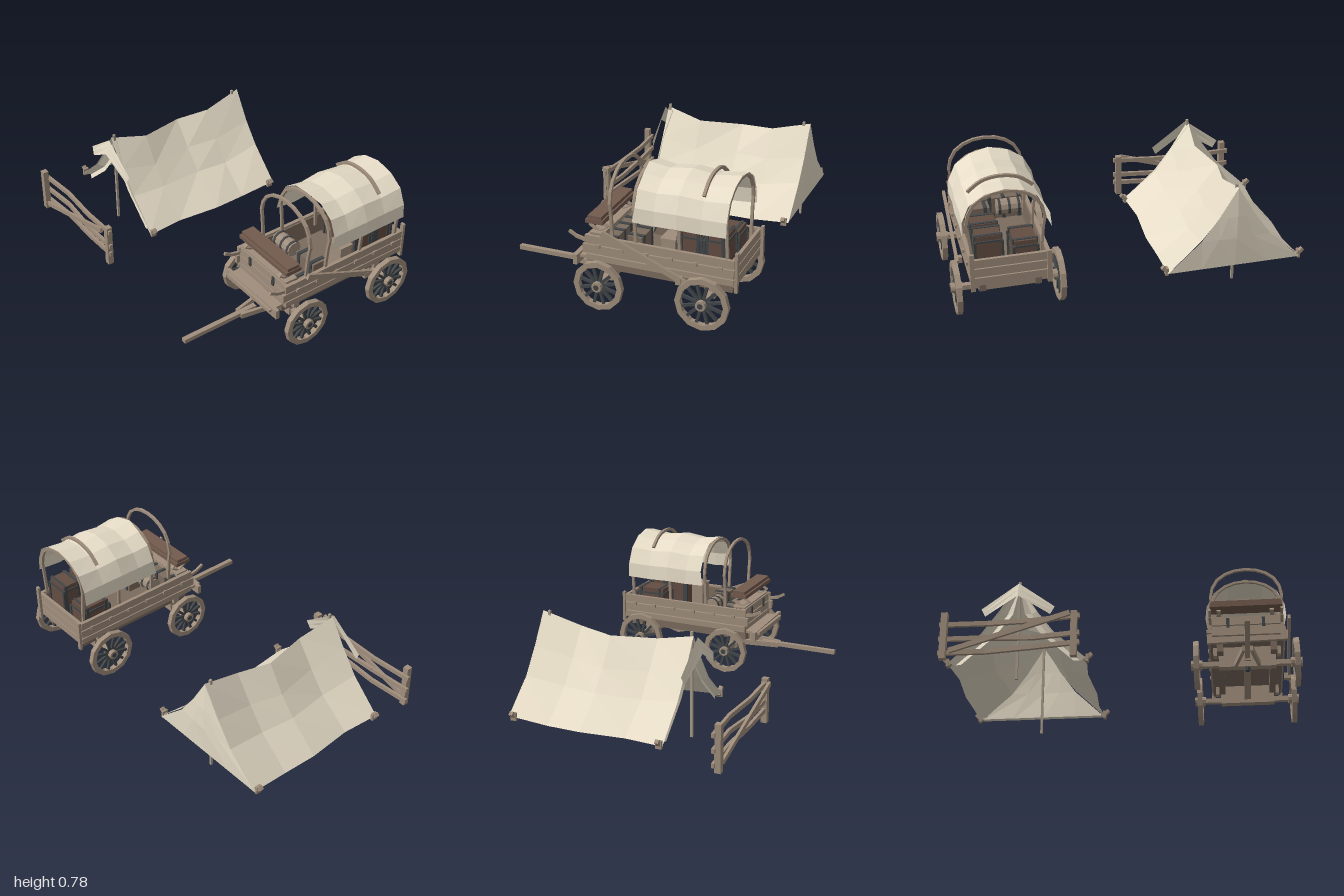
import * as THREE from 'three';

const mat = (name, color, side = THREE.FrontSide) => {
  const m = new THREE.MeshStandardMaterial({ color, side, flatShading: true });
  m.name = name;
  return m;
};
const wood = mat('wood', 0xa08e7c);
const darkWood = mat('dark wood', 0x7c6b5e);
const paleWood = mat('pale wood', 0xaa9d8c);
const seatWood = mat('red brown wood', 0x735a4d);
const trunkWood = mat('trunk wood', 0x644d43);
const iron = mat('iron', 0x424648);
const canvas = mat('canvas', 0xe6dcc7, THREE.DoubleSide);
const V = (x, y, z) => new THREE.Vector3(x, y, z);

export function createModel() {
  const root = new THREE.Group();
  const tent = new THREE.Group(), fence = new THREE.Group(), wagon = new THREE.Group();
  tent.name = 'tent'; fence.name = 'fence'; wagon.name = 'wagon';
  root.add(tent, fence, wagon);

  const add = (parent, name, geo, m, x = 0, y = 0, z = 0) => {
    const mesh = new THREE.Mesh(geo, m);
    mesh.name = name;
    mesh.position.set(x, y, z);
    parent.add(mesh);
    return mesh;
  };
  // box given by its min and max corners
  const box = (p, name, m, x0, x1, y0, y1, z0, z1) =>
    add(p, name, new THREE.BoxGeometry(x1 - x0, y1 - y0, z1 - z0), m, (x0 + x1) / 2, (y0 + y1) / 2, (z0 + z1) / 2);
  // straight bar from a to b, in the parent's own frame
  const bar = (p, name, m, a, b, w, h) => {
    const mesh = add(p, name, new THREE.BoxGeometry(w, h, a.distanceTo(b)), m);
    mesh.position.copy(a).add(b).multiplyScalar(0.5);
    mesh.quaternion.setFromRotationMatrix(new THREE.Matrix4().lookAt(b, a, V(0, 1, 0)));
    return mesh;
  };
  // cloth from a grid of points f(i, j)
  const sheet = (p, name, nu, nv, f) => {
    const pos = [], idx = [];
    for (let j = 0; j <= nv; j++) for (let i = 0; i <= nu; i++) pos.push(...f(i, j));
    for (let j = 0; j < nv; j++) for (let i = 0; i < nu; i++) {
      const a = j * (nu + 1) + i, b = a + nu + 1;
      idx.push(a, b, a + 1, b, b + 1, a + 1);
    }
    const g = new THREE.BufferGeometry();
    g.setAttribute('position', new THREE.Float32BufferAttribute(pos, 3));
    g.setIndex(idx);
    g.computeVertexNormals();
    return add(p, name, g, canvas);
  };

  // ---- tent: two sagging roof panels sharing a wavy ridge
  const TX = -0.58;
  const zs = [0.305, 0.08, -0.18, -0.38, -0.615];
  const ridge = [[-0.01, 0.58], [0.02, 0.525], [-0.03, 0.52], [0.01, 0.535], [0, 0.595]];
  const spread = [0.39, 0.37, 0.39, 0.38, 0.39];
  const hem = [0.105, 0.1, 0.095, 0.09, 0.11];
  const drop = [0, 0.36, 0.64, 1];           // share of the height lost
  const out = [0, 0.27, 0.52, 1];            // share of the width reached
  for (const s of [-1, 1]) {
    sheet(tent, 'roofPanel', 4, 3, (i, j) => {
      const [rx, ry] = ridge[i], k = out[j];
      const bump = j === 0 || j === 3 ? 0 : 0.007 * Math.sin(i * 2.3 + j * 1.7 + s);
      return [TX + rx * (1 - k) + s * spread[i] * k, ry - (ry - hem[i]) * drop[j] + bump, zs[i]];
    });
    // door flap tied back along the gable edge
    sheet(tent, 'doorFlap', 2, 3, (i, j) => {
      const x = 0.385 * out[j] - 0.035 * i * (j ? 1 : 0);
      return [TX + s * x, 0.575 - 0.465 * drop[j] - 0.005 * i, 0.3 - 0.022 * (i % 2) - 0.005 * i];
    });
    for (const z of [0.285, -0.585]) {
      const x = TX + s * 0.39;
      bar(tent, 'peg', wood, V(x + s * 0.025, 0.14, z), V(x - s * 0.015, 0.1, z), 0.022, 0.022);
      box(tent, 'pegCap', wood, x - 0.008, x + 0.008, 0.09, 0.135, z - 0.017, z + 0.017);
    }
  }
  // closed rear gable and its turned-in hem
  sheet(tent, 'rearWall', 4, 3, (i, j) => {
    const u = i / 2 - 1;
    return [TX + u * 0.385 * out[j], 0.595 - 0.485 * drop[j], -0.612 - (j % 3 ? 0.012 * (1 - Math.abs(u)) : 0)];
  });
  box(tent, 'rearHem', canvas, TX - 0.38, TX + 0.38, 0.106, 0.112, -0.61, -0.575);
  // awning, an upside-down V at the front
  sheet(tent, 'awning', 2, 2, (i, j) => {
    const s = i - 1, a = Math.abs(s);
    const x = s * (0.208 - 0.012 * j);
    return [TX + x, 0.575 - a * 0.155 - j * (0.045 - a * 0.02), 0.325 + j * (a ? 0.004 : 0.014)];
  });
  for (const z of [0.29, -0.575])
    box(tent, 'pole', paleWood, TX - 0.007, TX + 0.007, 0, 0.6, z - 0.007, z + 0.007);

  // ---- fence
  box(fence, 'post', wood, -0.94, -0.905, 0, 0.268, 0.58, 0.615);
  box(fence, 'post', wood, -0.243, -0.208, 0, 0.262, 0.555, 0.59);
  for (const [ya, yb] of [[0.21, 0.235], [0.125, 0.135], [0.045, 0.08]]) {
    const pts = [V(-0.955, ya, 0.578), V(-0.7, ya + 0.006, 0.56), V(-0.45, yb - 0.018, 0.572), V(-0.195, yb, 0.575)];
    for (let i = 0; i < 3; i++) bar(fence, 'rail', wood, pts[i], pts[i + 1], 0.018, 0.026);
  }
  bar(fence, 'brace', wood, V(-0.89, 0.045, 0.605), V(-0.245, 0.24, 0.605), 0.016, 0.028);

  // ---- wagon wheels
  const CX = 0.69;
  const wheel = (x, y, z, r) => {
    const g = new THREE.Group();
    g.name = 'wheel';
    g.position.set(x, y, z);
    g.rotation.z = -Math.PI / 2;
    wagon.add(g);
    const ri = r - 0.03, h = 0.015;
    const prof = [[ri, -h], [r, -h], [r, h], [ri, h], [ri, -h]].map(([a, b]) => new THREE.Vector2(a, b));
    add(g, 'rim', new THREE.LatheGeometry(prof, 12), wood);
    add(g, 'hub', new THREE.CylinderGeometry(0.028, 0.028, 0.064, 10), wood);
    add(g, 'hubCap', new THREE.CylinderGeometry(0.016, 0.016, 0.068, 8), iron);
    for (let i = 0; i < 12; i++) {
      const a = (i + 0.5) * Math.PI / 6;
      bar(g, 'spoke', iron, V(0.02 * Math.cos(a), 0, 0.02 * Math.sin(a)),
        V((ri + 0.004) * Math.cos(a), 0, (ri + 0.004) * Math.sin(a)), 0.015, 0.015);
    }
  };
  for (const x of [0.405, 0.965]) {
    wheel(x, 0.139, 0.063, 0.139);
    wheel(x, 0.149, -0.515, 0.147);
  }

  // running gear
  for (const [y, z] of [[0.139, 0.063], [0.149, -0.515]]) {
    box(wagon, 'axle', wood, 0.4, 0.97, y - 0.014, y + 0.014, z - 0.016, z + 0.016);
    box(wagon, 'bolster', wood, 0.53, 0.85, y - 0.025, 0.185, z - 0.025, z + 0.025);
    box(wagon, 'crossBeam', wood, 0.5, 0.88, 0.185, 0.235, z - 0.02, z + 0.02);
  }
  for (const s of [-1, 1])
    box(wagon, 'sill', darkWood, CX + s * 0.15 - 0.018, CX + s * 0.15 + 0.018, 0.182, 0.235, -0.64, 0.15);
  box(wagon, 'reach', wood, CX - 0.02, CX + 0.02, 0.145, 0.182, -0.55, 0.1);
  box(wagon, 'tongue', wood, CX - 0.014, CX + 0.014, 0.113, 0.138, 0.2, 0.675);
  for (const s of [-1, 1])
    bar(wagon, 'hound', wood, V(CX + s * 0.07, 0.13, 0.06), V(CX + s * 0.02, 0.125, 0.31), 0.018, 0.03);
  add(wagon, 'kingPin', new THREE.CylinderGeometry(0.015, 0.015, 0.05, 8), iron, CX, 0.12, 0.063);

  // wagon bed
  box(wagon, 'floor', darkWood, 0.485, 0.895, 0.235, 0.25, -0.655, 0.16);
  for (const s of [-1, 1]) {
    const x = CX + s * 0.205;
    for (const [y0, y1, z1] of [[0.34, 0.387, 0.165], [0.285, 0.334, 0.18], [0.245, 0.279, 0.16]])
      box(wagon, 'sidePlank', wood, x - 0.01, x + 0.01, y0, y1, -0.66, z1);
    box(wagon, 'sideLining', darkWood, x - s * 0.014 - 0.004, x - s * 0.014 + 0.004, 0.25, 0.375, -0.65, 0.155);
    for (let i = 0; i < 6; i++)
      box(wagon, 'sideCleat', wood, x + s * 0.014 - 0.006, x + s * 0.014 + 0.006, 0.325, 0.345, -0.6 + i * 0.135, -0.58 + i * 0.135);
    box(wagon, 'rearStake', wood, x - 0.012, x + 0.012, 0.21, s > 0 ? 0.43 : 0.4, -0.68, -0.664);
    // bent front handle and seat spring
    const hx = CX + s * 0.2;
    bar(wagon, 'frontHandle', wood, V(hx, 0.35, 0.16), V(hx, 0.365, 0.225), 0.014, 0.018);
    bar(wagon, 'frontHandle', wood, V(hx, 0.365, 0.22), V(hx, 0.388, 0.262), 0.014, 0.016);
    const sx = CX + s * 0.15;
    const ring = [V(sx, 0.392, 0.112), V(sx, 0.422, 0.165), V(sx, 0.455, 0.112), V(sx, 0.422, 0.06)];
    ring.forEach((a, i) => bar(wagon, 'seatSpring', wood, a, ring[(i + 1) % 4], 0.022, 0.008));
  }
  for (const [y0, y1] of [[0.34, 0.387], [0.285, 0.334], [0.235, 0.279]]) {
    box(wagon, 'frontPlank', wood, 0.49, 0.89, y0, y1, 0.14, 0.158);
    box(wagon, 'tailPlank', wood, 0.485, 0.895, y0, y1, -0.664, -0.645);
  }
  for (const x of [0.58, 0.78]) box(wagon, 'frontStrap', iron, x, x + 0.018, 0.325, 0.38, 0.156, 0.165);
  box(wagon, 'footboard', wood, 0.5, 0.875, 0.235, 0.25, 0.15, 0.25);
  bar(wagon, 'stepBoard', wood, V(0.47, 0.225, 0.222), V(0.915, 0.235, 0.222), 0.022, 0.055);
  box(wagon, 'seatRail', wood, 0.5, 0.88, 0.387, 0.396, 0.07, 0.15);
  box(wagon, 'seat', seatWood, 0.49, 0.9, 0.455, 0.478, 0.062, 0.162);
  box(wagon, 'seatCushion', seatWood, 0.495, 0.895, 0.478, 0.497, 0.072, 0.15);
  bar(wagon, 'brakeLever', wood, V(0.94, 0.43, 0.05), V(0.94, 0.235, -0.41), 0.016, 0.032);
  box(wagon, 'brakeBlock', wood, 0.91, 0.95, 0.22, 0.255, -0.39, -0.36);

  // flat bent hoops
  const HX = 0.7, HY = 0.5;
  const bow = [[0.19, 0.33], [0.2, 0.5], [0.214, 0.6], [0.179, 0.695], [0.1, 0.752]];
  const hoop = (z, from, grow) => {
    const half = bow.slice(from).map(([x, y]) => new THREE.Vector2(-x, y - HY + grow));
    const mirrored = half.map(p => new THREE.Vector2(-p.x, p.y)).reverse();
    const arch = new THREE.SplineCurve([...half, new THREE.Vector2(0, 0.27 + grow), ...mirrored]).getPoints(16);
    const inner = arch.map(p => new THREE.Vector2(p.x * 0.93, p.y * 0.945)).reverse();
    const geo = new THREE.ExtrudeGeometry(new THREE.Shape([...arch, ...inner]), { depth: 0.016, bevelEnabled: false });
    add(wagon, 'hoop', geo, wood, HX, HY, z - 0.008);
  };
  for (const z of [0.015, -0.118, -0.36, -0.618]) hoop(z, 0, z > -0.1 ? 0 : -0.012);
  hoop(-0.485, 3, 0.01);

  // wagon cover, scalloped between the hoops
  const cover = [[-0.242, 0.515], [-0.234, 0.6], [-0.188, 0.69], [-0.105, 0.745], [0, 0.766],
    [0.105, 0.745], [0.188, 0.69], [0.228, 0.6], [0.233, 0.52]];
  const cz = [-0.118, -0.235, -0.36, -0.49, -0.626];
  sheet(wagon, 'cover', 8, 4, (i, j) => {
    const [x, y] = cover[i], sag = j % 2 ? 0.93 : 1, edge = Math.abs(i - 4);
    const z = cz[j] - (j === 0 && edge > 0 && edge < 4 ? 0.014 : 0);
    return [HX + x * (j % 2 ? 0.97 : 1), 0.52 + (y - 0.52) * sag - (edge === 4 && j % 2 ? 0.006 : 0), z];
  });

  // cargo: strapped trunks, crates and a barrel
  const trunk = (x0, x1, y1, z0, z1) => {
    box(wagon, 'trunk', trunkWood, x0, x1, 0.25, y1 - 0.03, z0, z1);
    box(wagon, 'trunkLid', trunkWood, x0 + 0.004, x1 - 0.004, y1 - 0.03, y1, z0 + 0.004, z1 - 0.004);
    box(wagon, 'trunkBand', iron, x0 - 0.003, x1 + 0.003, y1 - 0.036, y1 - 0.026, z0 - 0.003, z1 + 0.003);
    for (const t of [0.14, 0.86]) {
      const z = z0 + (z1 - z0) * t;
      box(wagon, 'trunkStrap', iron, x0 - 0.004, x1 + 0.004, 0.25, y1 + 0.004, z - 0.008, z + 0.008);
    }
    for (const x of [x0, x1]) for (const z of [z0, z1])
      box(wagon, 'trunkCorner', iron, x - 0.007, x + 0.007, 0.25, y1 - 0.03, z - 0.007, z + 0.007);
  };
  trunk(0.72, 0.865, 0.485, -0.47, -0.345);
  trunk(0.72, 0.865, 0.488, -0.605, -0.485);
  trunk(0.53, 0.66, 0.43, -0.6, -0.42);
  box(wagon, 'crate', wood, 0.76, 0.86, 0.25, 0.415, -0.325, -0.25);
  box(wagon, 'crateLid', wood, 0.755, 0.865, 0.415, 0.425, -0.33, -0.245);
  box(wagon, 'smallCrate', darkWood, 0.71, 0.86, 0.25, 0.4, -0.14, -0.06);
  for (const x of [0.735, 0.835]) box(wagon, 'crateStrap', iron, x - 0.01, x + 0.01, 0.25, 0.406, -0.145, -0.055);
  // strapped locker behind the seat
  box(wagon, 'locker', darkWood, 0.5, 0.88, 0.25, 0.38, 0, 0.06);
  for (const x of [0.52, 0.61, 0.69, 0.77, 0.86])
    box(wagon, 'lockerStrap', iron, x - 0.01, x + 0.01, 0.25, 0.386, -0.005, 0.065);
  // barrel lying across the bed
  const lying = (name, r, len, m, x) =>
    add(wagon, name, new THREE.CylinderGeometry(r, r, len, 10).rotateZ(Math.PI / 2), m, x, 0.37, -0.085);
  lying('barrel', 0.044, 0.14, wood, 0.595);
  for (const x of [0.54, 0.595, 0.65]) lying('barrelHoop', 0.047, 0.014, iron, x);
  return root;
}
